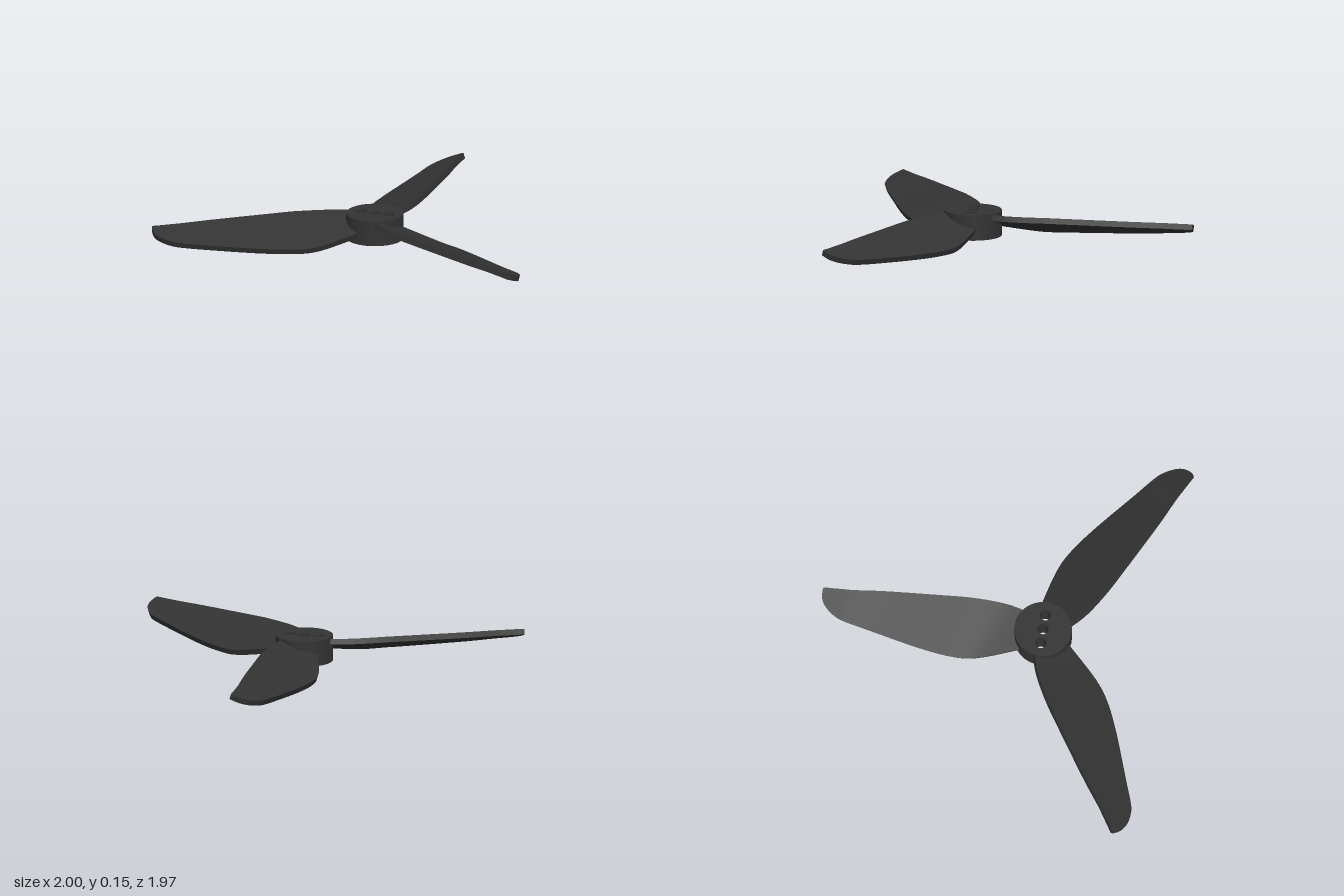
import * as THREE from 'three';
import { toCreasedNormals } from 'three/addons/utils/BufferGeometryUtils.js';

const HUB = { x: 0.117, z: -0.163, radius: 0.15, bottom: 0.013, top: 0.147 };
const PITCH = Math.atan(0.35), THICK = 0.03, STEPS = 54;

// Blade outline from root to tip, as [x, z] from the hub axis
const LEADING = [[-0.067, 0.123], [-0.061, 0.24], [-0.024, 0.4], [0.035, 0.578], [0.126, 0.84],
  [0.184, 0.99], [0.203, 1.048], [0.219, 1.096], [0.227, 1.123], [0.233, 1.142]];
const TRAILING = [[0.128, 0.075], [0.249, 0.267], [0.297, 0.4], [0.324, 0.578], [0.345, 0.84],
  [0.356, 0.98], [0.35, 1.037], [0.326, 1.096], [0.294, 1.128], [0.257, 1.142]];

const edgeCurve = (pts) => new THREE.SplineCurve(pts.map(([x, z]) => new THREE.Vector2(x, z)));

// Pitched slab lofted between the leading and trailing edges
function bladeGeometry() {
  const lead = edgeCurve(LEADING), trail = edgeCurve(TRAILING);
  const pos = [], index = [];
  const dx = THICK * Math.sin(PITCH), dy = THICK * Math.cos(PITCH);
  for (let i = 0; i <= STEPS; i++) {
    const l = lead.getPoint(i / STEPS), r = trail.getPoint(i / STEPS);
    const lx = l.x + dx;
    const yl = 0.14 - 0.02 * THREE.MathUtils.clamp((l.y - 0.43) / 0.71, 0, 1);
    const yr = yl - Math.tan(PITCH) * (r.x - lx);
    pos.push(lx, yl, l.y, r.x, yr, r.y, r.x - dx, yr - dy, r.y, lx - dx, yl - dy, l.y);
    if (i === STEPS) break;
    for (let k = 0; k < 4; k++) {
      const a = i * 4 + k, b = i * 4 + (k + 1) % 4;
      index.push(a, a + 4, b + 4, a, b + 4, b);
    }
  }
  const e = STEPS * 4;
  index.push(0, 1, 2, 0, 2, 3, e, e + 3, e + 2, e, e + 2, e + 1);
  const geo = new THREE.BufferGeometry();
  geo.setAttribute('position', new THREE.Float32BufferAttribute(pos, 3));
  geo.setIndex(index);
  return toCreasedNormals(geo, 0.7);
}

// Round hub with three through holes on a diagonal
function hubGeometry() {
  const shape = new THREE.Shape().absarc(0, 0, HUB.radius, 0, Math.PI * 2);
  for (const d of [-0.055, 0, 0.055]) {
    shape.holes.push(new THREE.Path().absarc(d, -d, 0.029, 0, Math.PI * 2, true));
  }
  const geo = new THREE.ExtrudeGeometry(shape, {
    depth: HUB.top - HUB.bottom, bevelEnabled: false, curveSegments: 40,
  });
  geo.rotateX(-Math.PI / 2).translate(0, HUB.bottom, 0);
  return toCreasedNormals(geo, 0.7);
}

export function createModel() {
  const model = new THREE.Group();
  model.name = 'propeller';
  const material = new THREE.MeshStandardMaterial({ color: 0x333333 });

  const rotor = new THREE.Group();
  rotor.name = 'rotor';
  rotor.position.set(HUB.x, 0, HUB.z);
  model.add(rotor);

  const hub = new THREE.Mesh(hubGeometry(), material);
  hub.name = 'hub';
  rotor.add(hub);

  // Three identical blades
  const geo = bladeGeometry();
  for (let i = 0; i < 3; i++) {
    const blade = new THREE.Mesh(geo, material);
    blade.name = `blade${i + 1}`;
    blade.rotation.y = i * Math.PI * 2 / 3;
    rotor.add(blade);
  }
  return model;
}
